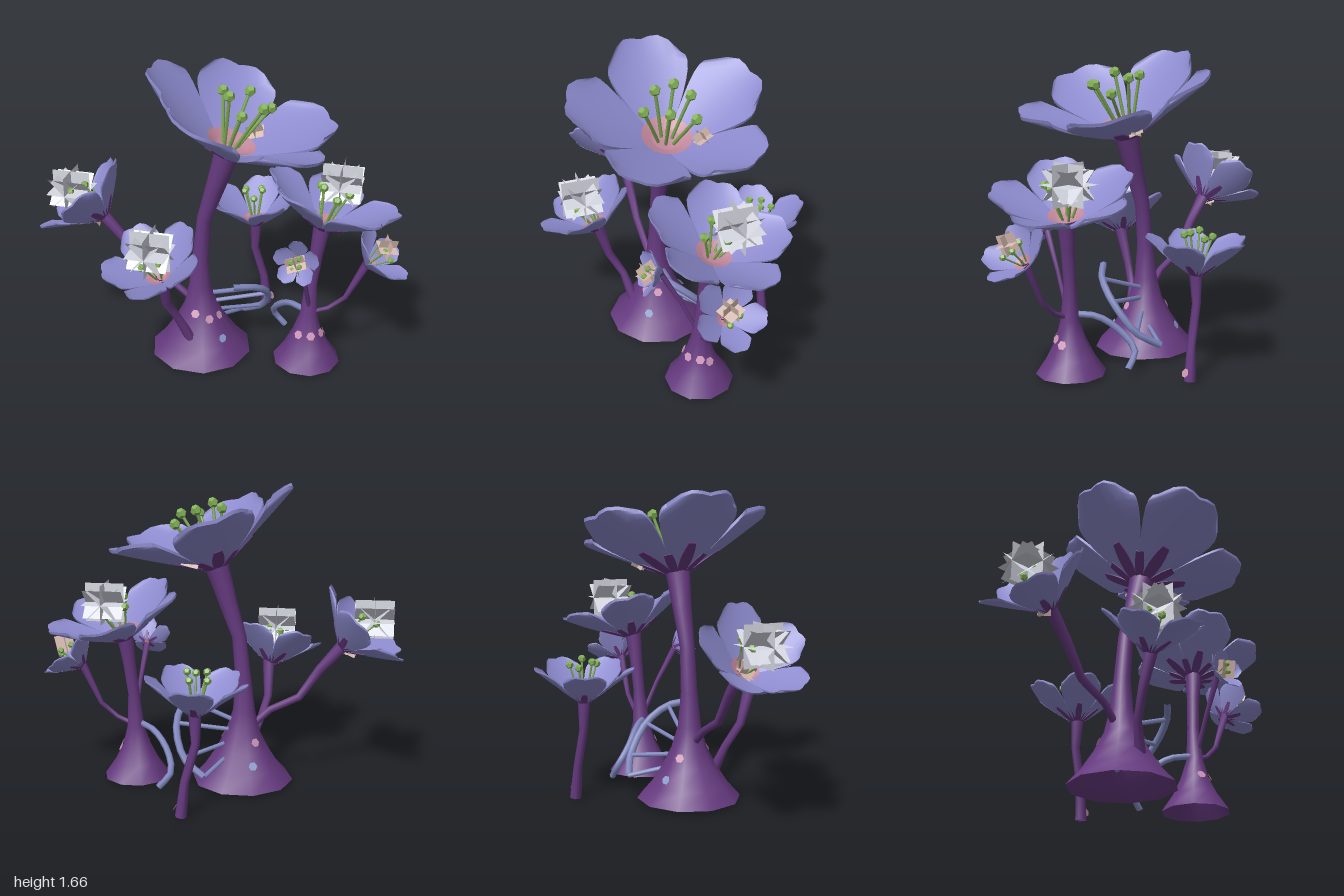
import * as THREE from 'three';

const mat = (name, color, double) => {
  const m = new THREE.MeshStandardMaterial({ color });
  m.name = name;
  if (double) m.side = THREE.DoubleSide;
  return m;
};
const V = (a) => new THREE.Vector3(a[0], a[1], a[2]);
const UP = new THREE.Vector3(0, 1, 0);

export function createModel() {
  const root = new THREE.Group();
  root.name = 'flowerCluster';
  const M = {
    petal: mat('petal violet', 0x8d8bce),
    stem: mat('stem purple', 0x663a80, true),
    throat: mat('throat pink', 0xc2889c, true),
    stamen: mat('stamen green', 0x82b056),
    grey: mat('sparkle grey', 0xd8dae4, true),
    tan: mat('sparkle tan', 0xd8bcb2, true),
    tendril: mat('tendril blue', 0x8289c0),
    pinkSpot: mat('spot pink', 0xcb94b6, true),
    blueSpot: mat('spot blue', 0x8f9fd0, true),
  };
  const add = (parent, name, geo, material) => {
    const mesh = new THREE.Mesh(geo, material);
    mesh.name = name;
    parent.add(mesh);
    return mesh;
  };

  // Stem: rings of changing radius swept along [x, y, z, radius] points
  function stem(name, pts, sides) {
    const pos = [], idx = [], n = pts.length;
    pts.forEach((p, i) => {
      const t = V(pts[Math.min(i + 1, n - 1)]).sub(V(pts[Math.max(i - 1, 0)])).normalize();
      const q = new THREE.Quaternion().setFromUnitVectors(UP, t);
      for (let j = 0; j < sides; j++) {
        const a = (j / sides) * Math.PI * 2;
        const v = new THREE.Vector3(Math.cos(a) * p[3], 0, Math.sin(a) * p[3]).applyQuaternion(q).add(V(p));
        pos.push(v.x, v.y, v.z);
        if (i < n - 1) {
          const k = (j + 1) % sides, A = i * sides + j, B = i * sides + k;
          idx.push(A, A + sides, B, B, A + sides, B + sides);
        }
      }
    });
    const g = new THREE.BufferGeometry();
    g.setAttribute('position', new THREE.Float32BufferAttribute(pos, 3));
    g.setIndex(idx);
    g.computeVertexNormals();
    add(root, name, g, M.stem);
  }

  // Petal surface rule: u across (-1..1), v along (0..1); edges curl upward
  const bowl = (v, H) => H * (0.95 * v + 0.05 * v * v);
  function petalPoint(u, v, R, H) {
    const w = R * (0.09 + 0.34 * Math.sin(v * 1.9));
    const edge = 1 - v * v * (0.3 * Math.abs(u) ** 3 + 0.04 * Math.exp(-u * u * 12));
    const x = R * (0.12 + 0.9 * v * edge);
    return new THREE.Vector3(x, bowl(v * edge, H) + 0.11 * R * u * u * v, -w * u * (1 - 0.12 * v ** 6));
  }
  // Thin solid strip that follows the petal rule
  function petalGeo(R, H, v1, width, top, bottom, taper) {
    const g = new THREE.BoxGeometry(2, 1, 1, 8, 1, 8), p = g.attributes.position;
    for (let i = 0; i < p.count; i++) {
      const s = p.getZ(i) + 0.5;
      const u = p.getX(i) * width * (1 - taper * s);
      const q = petalPoint(u, s * v1, R, H);
      q.y += p.getY(i) > 0 ? top : bottom;
      p.setXYZ(i, q.x, q.y, q.z);
    }
    g.computeVertexNormals();
    return g;
  }

  // Flower: neck position, axis, direction of the first petal, rim radius and depth
  function flower(name, neck, axis, first, R, H, stamens) {
    const f = new THREE.Group();
    f.name = name;
    const y = V(axis).normalize(), x = V(first);
    x.addScaledVector(y, -x.dot(y)).normalize();
    f.quaternion.setFromRotationMatrix(new THREE.Matrix4().makeBasis(x, y, x.clone().cross(y)));
    f.position.copy(V(neck));
    const petal = petalGeo(R, H, 1, 1, 0, -0.035 * R, 0);
    const mark = petalGeo(R, H, 0.38, 0.5, -0.03 * R, -0.048 * R, 0.75);
    const side = petalGeo(R, H, 0.26, 0.4, -0.03 * R, -0.052 * R, 0.6);
    for (let i = 0; i < 5; i++) {
      const a = (i / 5) * Math.PI * 2;
      add(f, 'petal', petal, M.petal).rotation.y = a;
      add(f, 'petalMark', mark, M.stem).rotation.y = a;
      add(f, 'sideMark', side, M.stem).rotation.y = a + Math.PI / 5;
    }
    // Cup under the petals and pink throat inside
    add(f, 'cup', new THREE.CylinderGeometry(0.22 * R, 0.12 * R, 0.13 * H, 10, 1, true), M.stem).position.y = -0.01 * H;
    const prof = [[0, 0.05 * H]];
    for (let i = 0; i <= 3; i++) prof.push([R * (0.12 + 0.045 * i), bowl(0.05 * i, H) + 0.035 * R]);
    add(f, 'throat', new THREE.LatheGeometry(prof.map((p) => new THREE.Vector2(...p)), 16), M.throat);
    // Stamens: curved filaments with faceted heads
    for (let i = 0; i < stamens; i++) {
      const a = (i / stamens) * Math.PI * 2 + 0.4, s = R * (i % 2 ? 0.2 : 0.29), h = H * (i % 2 ? 1.15 : 1.02);
      const tip = new THREE.Vector3(Math.cos(a) * s, h, Math.sin(a) * s);
      const c = new THREE.CatmullRomCurve3([
        new THREE.Vector3(tip.x * 0.3, 0.08 * H, tip.z * 0.3),
        new THREE.Vector3(tip.x * 0.65, h * 0.55, tip.z * 0.65), tip]);
      add(f, 'filament', new THREE.TubeGeometry(c, 5, 0.014 * R + 0.002, 5), M.stamen);
      add(f, 'stamenHead', new THREE.DodecahedronGeometry(0.035 * R + 0.012, 0), M.stamen).position.copy(tip);
    }
    root.add(f);
  }

  // Sparkle: crossed square plates, three upright to each other plus optional diagonals
  const q = Math.PI / 4, h = Math.PI / 2;
  const straight = [[0, 0, 0], [h, 0, 0], [0, h, 0]];
  const starred = [...straight, [q, 0, 0], [-q, 0, 0], [h, q, 0], [h, -q, 0]];
  function sparkle(name, pos, size, material, turns, tilt = [0, 0, 0]) {
    const g = new THREE.Group();
    g.name = name;
    const plate = new THREE.PlaneGeometry(size, size);
    turns.forEach((r) => add(g, 'plate', plate, material).rotation.set(...r));
    g.position.set(...pos);
    g.rotation.set(...tilt);
    root.add(g);
  }

  // Stems
  stem('mainStem', [[-0.12, 0.02, 0.08, 0.282], [-0.12, 0.1, 0.08, 0.21], [-0.12, 0.2, 0.08, 0.145], [-0.12, 0.3, 0.08, 0.095],
    [-0.125, 0.42, 0.08, 0.062], [-0.12, 0.6, 0.08, 0.045], [-0.095, 0.84, 0.08, 0.04], [-0.03, 1.04, 0.08, 0.052], [0.035, 1.25, 0.08, 0.068]], 10);
  stem('secondStem', [[0.48, 0.02, 0.05, 0.186], [0.48, 0.11, 0.05, 0.125], [0.48, 0.2, 0.05, 0.08], [0.485, 0.31, 0.05, 0.048],
    [0.49, 0.5, 0.04, 0.033], [0.51, 0.68, 0.03, 0.036], [0.53, 0.84, 0.02, 0.046]], 10);
  stem('leftStem', [[-0.14, 0.3, 0.08, 0.02], [-0.27, 0.42, 0.1, 0.02], [-0.43, 0.5, 0.1, 0.022], [-0.54, 0.66, 0.105, 0.027], [-0.67, 0.81, 0.11, 0.036]], 7);
  stem('frontStem', [[-0.14, 0.15, 0.22, 0.03], [-0.2, 0.3, 0.26, 0.022], [-0.24, 0.43, 0.33, 0.024], [-0.235, 0.64, 0.39, 0.036]], 7);
  stem('backStem', [[0.14, 0.01, -0.48, 0.032], [0.12, 0.2, -0.47, 0.024], [0.065, 0.4, -0.455, 0.024], [0.07, 0.58, -0.45, 0.036]], 7);
  stem('budStem', [[0.49, 0.34, 0.06, 0.014], [0.475, 0.55, 0.15, 0.012], [0.455, 0.74, 0.25, 0.018]], 6);
  stem('rightStem', [[0.5, 0.32, 0.05, 0.014], [0.59, 0.36, 0.05, 0.013], [0.68, 0.44, 0.045, 0.014], [0.785, 0.67, 0.04, 0.024]], 6);

  // Flowers
  flower('mainFlower', [0.035, 1.245, 0.075], [0.33, 0.945, 0], [-1, 0, 0], 0.52, 0.265, 6);
  flower('leftFlower', [-0.665, 0.795, 0.11], [-0.68, 0.73, 0.02], [1, 0.5, 0], 0.285, 0.19, 5);
  flower('frontFlower', [-0.25, 0.62, 0.39], [-0.16, 0.9, 0.36], [0, 0, 1], 0.265, 0.17, 5);
  flower('secondFlower', [0.535, 0.84, 0.01], [0.26, 0.95, -0.17], [0, 0, -1], 0.37, 0.18, 5);
  flower('backFlower', [0.065, 0.565, -0.45], [-0.05, 1, 0], [0, 0, -1], 0.265, 0.185, 5);
  flower('budFlower', [0.455, 0.75, 0.25], [-0.05, 0.25, 0.95], [0, 1, 0], 0.12, 0.085, 4);
  flower('rightFlower', [0.785, 0.655, 0.04], [0.7, 0.71, 0], [1, -0.5, 0], 0.18, 0.12, 4);

  // Sparkles
  sparkle('greySparkle', [-0.825, 0.945, 0.13], 0.21, M.grey, starred);
  sparkle('greySparkle', [-0.275, 0.815, 0.465], 0.21, M.grey, starred);
  sparkle('greySparkle', [0.61, 1.045, -0.09], 0.21, M.grey, starred);
  sparkle('tanSparkle', [0.45, 0.765, 0.32], 0.1, M.tan, straight, [0.3, 0.3, 0.25]);
  sparkle('tanSparkle', [0.88, 0.775, 0.05], 0.1, M.tan, straight, [0.3, 0.4, -0.3]);
  sparkle('tanSparkle', [-0.7, 0.79, 0.11], 0.09, M.tan, straight, [0.3, 0.2, 0.4]);
  sparkle('tanSparkle', [0.14, 1.29, -0.09], 0.09, M.tan, straight, [0.4, 0.2, 0.2]);

  // Tendrils and the rungs that tie the first one to the main stem
  const tendril = (name, pts, r) =>
    add(root, name, new THREE.TubeGeometry(new THREE.CatmullRomCurve3(pts.map(V)), 10, r, 6), M.tendril);
  const loop = [[0.09, 0.5, 0.2], [0.2, 0.46, 0.1], [0.24, 0.36, -0.02], [0.18, 0.2, -0.14], [0.06, 0.12, -0.2]];
  tendril('loopTendril', loop, 0.02);
  tendril('sideTendril', [[0.46, 0.33, 0.05], [0.36, 0.31, -0.03], [0.27, 0.22, -0.12], [0.245, 0.13, -0.19], [0.31, 0.05, -0.2]], 0.018);
  loop.slice(1).forEach((p, i) => {
    const y = 0.36 - i * 0.055;
    tendril('rung', [[-0.08, y, 0.06], [(p[0] - 0.08) / 2, (y + p[1]) / 2, (p[2] + 0.06) / 2], p], 0.013);
  });

  // Spots on the stems: [centre x, centre z, radius there, height, angle, material]
  [[-0.12, 0.08, 0.1, 0.29, 1.6, M.pinkSpot], [-0.12, 0.08, 0.115, 0.26, 0.9, M.pinkSpot], [-0.12, 0.08, 0.115, 0.26, 0.3, M.pinkSpot],
    [-0.12, 0.08, 0.18, 0.155, 0.6, M.blueSpot], [-0.12, 0.08, 0.115, 0.26, 4.0, M.pinkSpot], [-0.12, 0.08, 0.18, 0.15, 4.3, M.blueSpot],
    [0.48, 0.05, 0.079, 0.21, 2.0, M.pinkSpot], [0.48, 0.05, 0.079, 0.21, 1.15, M.pinkSpot], [0.48, 0.05, 0.079, 0.21, 0.3, M.pinkSpot],
    [0.48, 0.05, 0.086, 0.19, -0.3, M.pinkSpot], [0.137, -0.48, 0.03, 0.06, 0.2, M.pinkSpot]]
    .forEach(([cx, cz, r, y, a, m]) => {
      const s = add(root, 'spot', new THREE.CircleGeometry(0.025, 6), m);
      const n = new THREE.Vector3(Math.cos(a), 0.5, Math.sin(a));
      s.position.set(cx + n.x * (r + 0.005), y, cz + n.z * (r + 0.005));
      s.lookAt(s.position.clone().add(n));
    });
  return root;
}
